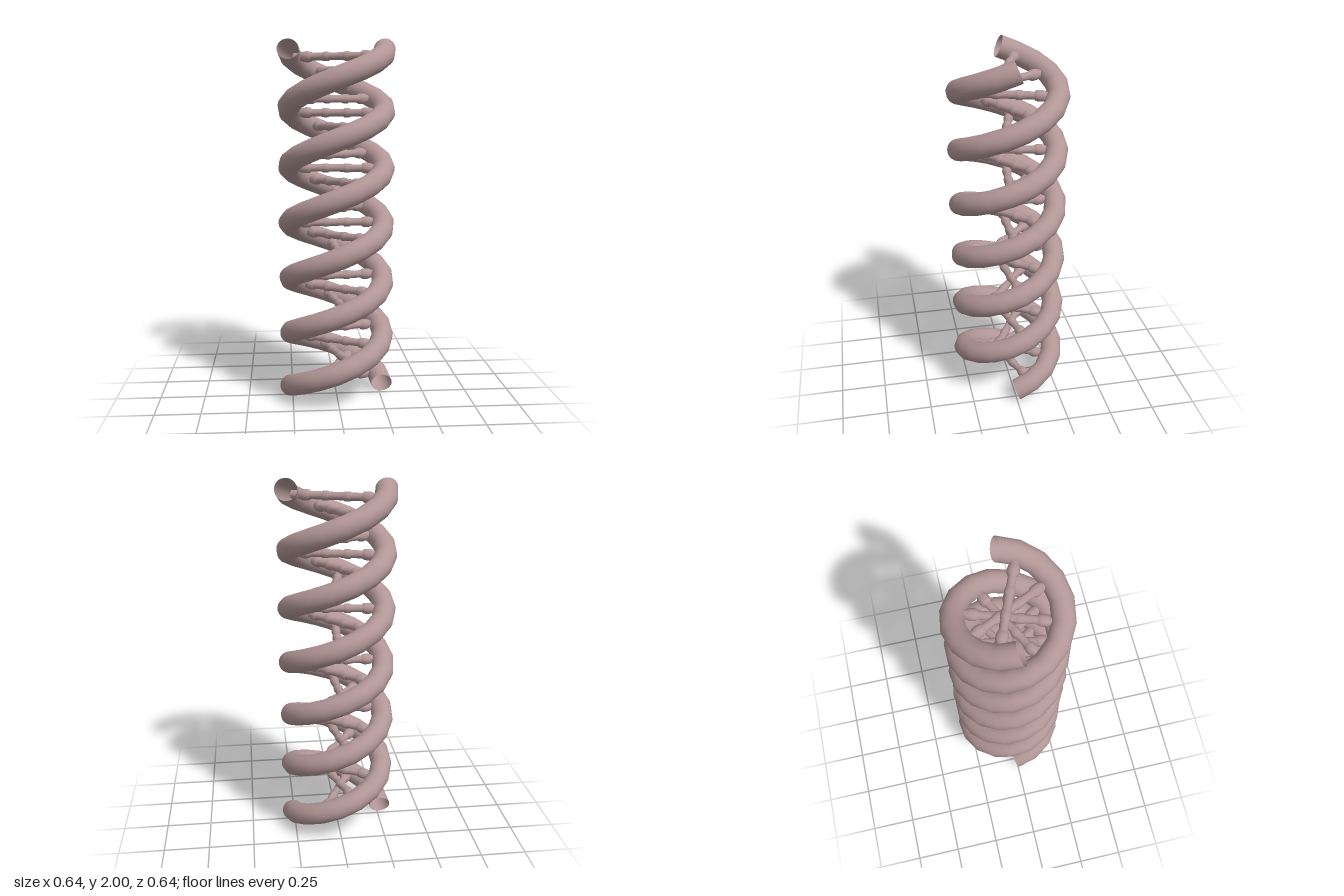
import * as THREE from 'three';

const TURNS = 3, RADIUS = 0.262, TUBE = 0.06, Y0 = 0.056, Y1 = 1.944, RUNGS = 25;

// Helix rising from the right side (-x), passing the front first
class Helix extends THREE.Curve {
  constructor(phase) {
    super();
    this.phase = phase;
  }
  getPoint(t, target = new THREE.Vector3()) {
    const a = t * TURNS * Math.PI * 2 + this.phase;
    return target.set(-RADIUS * Math.cos(a), Y0 + (Y1 - Y0) * t, RADIUS * Math.sin(a));
  }
}

export function createModel() {
  const model = new THREE.Group();
  model.name = 'doubleHelix';
  const mauve = new THREE.MeshStandardMaterial({ color: 0xb29696, side: THREE.DoubleSide });
  mauve.name = 'dusty mauve';

  // Two open-ended strands, half a turn apart
  ['rightStrand', 'leftStrand'].forEach((name, i) => {
    const strand = new THREE.Mesh(
      new THREE.TubeGeometry(new Helix(i * Math.PI), 50, TUBE, 20, false), mauve);
    strand.name = name;
    model.add(strand);
  });

  // Rung profile: thin rod with two middle beads and thicker end collars
  const half = [
    [0.021, 0], [0.021, 0.038], [0.025, 0.044], [0.026, 0.058], [0.025, 0.074],
    [0.021, 0.08], [0.021, 0.138], [0.027, 0.145], [0.03, 0.158], [0.03, 0.176],
    [0.027, 0.19], [0.022, 0.2], [0.021, 0.245],
  ];
  const profile = [
    ...half.slice(1).reverse().map(([r, d]) => new THREE.Vector2(r, -d)),
    ...half.map(([r, d]) => new THREE.Vector2(r, d)),
  ];
  const rungGeometry = new THREE.LatheGeometry(profile, 14).rotateZ(Math.PI / 2);

  // Rungs climb with the strands
  const rungs = new THREE.Group();
  rungs.name = 'rungs';
  for (let i = 0; i < RUNGS; i++) {
    const t = (i + 0.5) / RUNGS;
    const rung = new THREE.Mesh(rungGeometry, mauve);
    rung.name = 'rung';
    rung.position.y = Y0 + (Y1 - Y0) * t;
    rung.rotation.y = t * TURNS * Math.PI * 2;
    rungs.add(rung);
  }
  model.add(rungs);
  return model;
}
